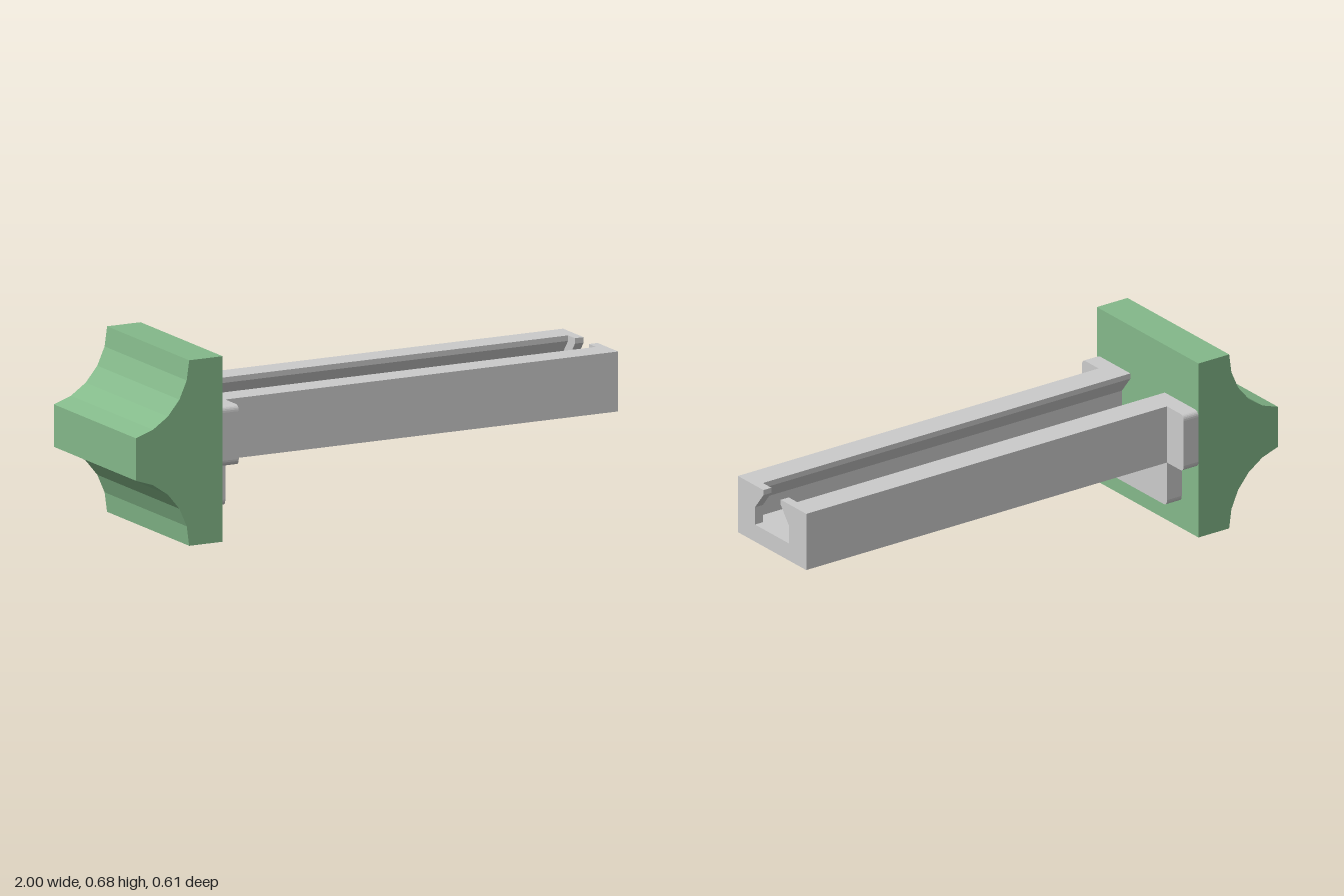
import * as THREE from 'three';

const GREY = 0xcccccc, GREEN = 0x84b98a;
const TOP = 0.49, BOTTOM = 0.272, FLOOR = 0.338;

// Extrude a z/y cross-section along x from x0 to x1
function extrudeX(name, shape, x0, x1) {
  const geo = new THREE.ExtrudeGeometry(shape, { depth: x1 - x0, bevelEnabled: false, curveSegments: 6 });
  geo.rotateY(Math.PI / 2).translate(x0, 0, 0);
  const mesh = new THREE.Mesh(geo, new THREE.MeshStandardMaterial({ color: GREY }));
  mesh.name = name;
  return mesh;
}

// Bar section with rounded outer corners and a T-shaped slot open at the top
function slottedSection(half, neck, cavity, r = 0) {
  const s = new THREE.Shape();
  s.moveTo(-half + r, BOTTOM);
  s.lineTo(half - r, BOTTOM);
  if (r) s.quadraticCurveTo(half, BOTTOM, half, BOTTOM + r);
  s.lineTo(half, TOP - r);
  if (r) s.quadraticCurveTo(half, TOP, half - r, TOP);
  s.lineTo(neck, TOP);
  s.lineTo(neck, 0.47);
  s.lineTo(cavity, 0.405);
  s.lineTo(cavity, FLOOR);
  s.lineTo(-cavity, FLOOR);
  s.lineTo(-cavity, 0.405);
  s.lineTo(-neck, 0.47);
  s.lineTo(-neck, TOP);
  s.lineTo(-half + r, TOP);
  if (r) s.quadraticCurveTo(-half, TOP, -half, TOP - r);
  s.lineTo(-half, BOTTOM + r);
  if (r) s.quadraticCurveTo(-half, BOTTOM, -half + r, BOTTOM);
  return s;
}

// Tab below the flange, rounded at its lower corners
function tabSection(half, low, r) {
  const s = new THREE.Shape();
  s.moveTo(-half + r, low);
  s.lineTo(half - r, low);
  s.quadraticCurveTo(half, low, half, low + r);
  s.lineTo(half, BOTTOM);
  s.lineTo(-half, BOTTOM);
  s.lineTo(-half, low + r);
  s.quadraticCurveTo(-half, low, -half + r, low);
  return s;
}

// Block with two faceted concave scoops narrowing to the outer end
function endBlock() {
  const h = 0.675, r = 0.265, steps = 5, sweep = 1.381;
  const upper = [];
  for (let i = 0; i <= steps; i++) {
    const a = (sweep * i) / steps;
    upper.push(new THREE.Vector2(-1.05 + r * Math.cos(a), h - r * Math.sin(a)));
  }
  upper[steps].x = -1;
  const lower = upper.map(p => new THREE.Vector2(p.x, h - p.y)).reverse();
  const shape = new THREE.Shape([
    new THREE.Vector2(-0.65, 0), new THREE.Vector2(-0.65, h), ...upper, ...lower,
  ]);
  const geo = new THREE.ExtrudeGeometry(shape, { depth: 0.61, bevelEnabled: false });
  geo.translate(0, 0, -0.305);
  const mesh = new THREE.Mesh(geo, new THREE.MeshStandardMaterial({ color: GREEN, flatShading: true }));
  mesh.name = 'endBlock';
  return mesh;
}

export function createModel() {
  const model = new THREE.Group();
  model.name = 'slottedRail';
  model.add(
    endBlock(),
    extrudeX('flange', slottedSection(0.305, 0.103, 0.154, 0.022), -0.65, -0.585),
    extrudeX('flangeTab', tabSection(0.205, 0.104, 0.022), -0.65, -0.585),
    extrudeX('rail', slottedSection(0.205, 0.103, 0.154), -0.585, 0.965),
    // Narrower slot at the free end
    extrudeX('railEnd', slottedSection(0.205, 0.052, 0.103), 0.965, 1),
  );
  return model;
}
